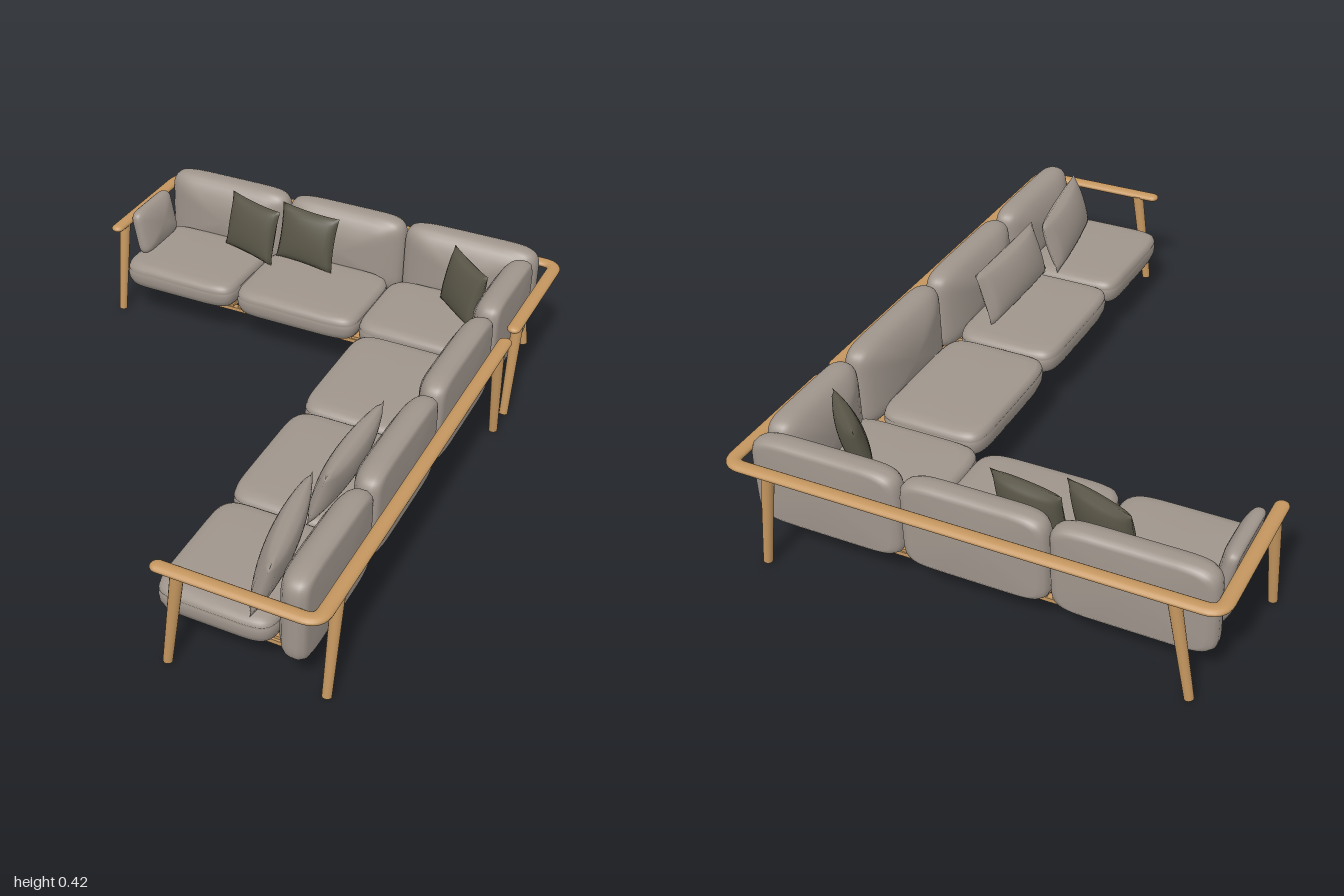
import * as THREE from 'three';
import { mergeVertices } from 'three/addons/utils/BufferGeometryUtils.js';

const V = (x, y, z) => new THREE.Vector3(x, y, z);
const RAIL_Y = 0.333, RAIL_R = 0.0225, RAIL_FLAT = 0.55;

// Profiles run from underside to crown: [fraction of outline, fraction of thickness]
const SEAT = [[0, 0], [.85, 0], [.95, .08], [.99, .3], [1, .5], [.995, .62], [.985, .66],
  [.995, .7], [.975, .85], [.92, .95], [.8, .98], [.5, 1], [0, 1]];
const BACK = [[0, 0], [.88, 0], [.96, .06], [1, .2], [1, .38], [.985, .5], [.94, .62],
  [.85, .74], [.65, .89], [.35, .98], [0, 1]];

function smooth(geometry) {
  geometry.deleteAttribute('normal');
  geometry.deleteAttribute('uv');
  const merged = mergeVertices(geometry, 1e-5);
  merged.computeVertexNormals();
  return merged;
}

// Lathe whose round outline is squared off into a soft rectangle
function slab(w, h, d, profile) {
  const geo = new THREE.LatheGeometry(profile.map(([r, y]) => new THREE.Vector2(r, y * h)), 64);
  const p = geo.attributes.position;
  const square = (v) => Math.abs(v) < 1e-6 ? 0 : Math.sign(v) * Math.pow(Math.abs(v), 2 / 7);
  for (let i = 0; i < p.count; i++) {
    const x = p.getX(i), z = p.getZ(i), r = Math.hypot(x, z) || 1e-9;
    p.setX(i, r * square(x / r) * w / 2);
    p.setZ(i, r * square(z / r) * d / 2);
  }
  return smooth(geo);
}

// Stuffed pillow: thin at the seams, with drawn-in edges between the corners
function pillowGeometry(w, h, t, pinch) {
  const geo = new THREE.BoxGeometry(2, 2, 2, 16, 16, 1);
  const p = geo.attributes.position;
  for (let i = 0; i < p.count; i++) {
    const u = p.getX(i), v = p.getY(i), s = Math.sign(p.getZ(i));
    const puff = Math.pow(Math.max(0, (1 - u * u) * (1 - v * v)), 0.45);
    p.setXYZ(i, u * w / 2 * (1 - pinch * (1 - v * v)), v * h / 2 * (1 - pinch * (1 - u * u)), s * t / 2 * puff);
  }
  return smooth(geo);
}

export function createModel() {
  const mat = (name, color) => new THREE.MeshStandardMaterial({ name, color });
  const wood = mat('oak', 0xc4965f);
  const fabric = mat('greyFabric', 0x9f958c);
  const dark = mat('darkFabric', 0x5a5648);

  const model = new THREE.Group();
  model.name = 'cornerSofa';
  const section = (name) => {
    const g = new THREE.Group();
    g.name = name;
    model.add(g);
    return g;
  };
  const add = (parent, name, geo, material, x = 0, y = 0, z = 0) => {
    const m = new THREE.Mesh(geo, material);
    m.name = name;
    m.position.set(x, y, z);
    parent.add(m);
    return m;
  };
  const box = (parent, name, x0, x1, y0, y1, z0, z1) =>
    add(parent, name, new THREE.BoxGeometry(x1 - x0, y1 - y0, z1 - z0), wood,
      (x0 + x1) / 2, (y0 + y1) / 2, (z0 + z1) / 2);

  // Flattened round rail following [x, z] corners with rounded bends
  function rail(parent, pts) {
    const path = new THREE.CurvePath();
    const c = pts.map(([x, z]) => V(x, 0, z));
    let from = c[0];
    for (let i = 1; i < c.length; i++) {
      if (i === c.length - 1) { path.add(new THREE.LineCurve3(from, c[i])); break; }
      const a = c[i].clone().add(c[i - 1].clone().sub(c[i]).setLength(0.045));
      const b = c[i].clone().add(c[i + 1].clone().sub(c[i]).setLength(0.045));
      path.add(new THREE.LineCurve3(from, a));
      path.add(new THREE.QuadraticBezierCurve3(a, c[i], b));
      from = b;
    }
    const tube = add(parent, 'rail', new THREE.TubeGeometry(path, 200, RAIL_R, 16), wood, 0, RAIL_Y, 0);
    tube.scale.y = RAIL_FLAT;
    for (const end of [c[0], c[c.length - 1]]) {
      const cap = add(parent, 'railEnd', new THREE.SphereGeometry(RAIL_R, 16, 12), wood, end.x, RAIL_Y, end.z);
      cap.scale.y = RAIL_FLAT;
    }
  }

  // Tapered leg from foot to top
  function leg(parent, foot, top) {
    const dir = top.clone().sub(foot);
    const m = add(parent, 'leg', new THREE.CylinderGeometry(0.019, 0.014, dir.length(), 16), wood);
    m.position.copy(foot).add(top).multiplyScalar(0.5);
    m.quaternion.setFromUnitVectors(V(0, 1, 0), dir.normalize());
  }

  const seat = (parent, x0, x1, z0, z1) =>
    add(parent, 'seatCushion', slab(x1 - x0, 0.092, z1 - z0, SEAT), fabric, (x0 + x1) / 2, 0.13, (z0 + z1) / 2);

  // Back cushion; (x, z) is the middle of its flat rear face
  const back = (parent, width, x, z, turn) => {
    const geo = slab(width, 0.115, 0.285, BACK).rotateX(Math.PI / 2).rotateY(turn);
    add(parent, 'backCushion', geo, fabric, x, 0.27, z);
  };

  const pillow = (parent, name, geo, material, [x, y, z], turn, lean) =>
    add(parent, name, geo, material, x, y, z).rotation.set(lean, turn, 0, 'YXZ');

  // Slatted base; slats run across the shorter direction
  function base(parent, x0, x1, z0, z1, count) {
    const t = 0.022, y0 = 0.108, y1 = 0.121;
    box(parent, 'baseFrame', x0, x1, y0, y1, z0, z0 + t);
    box(parent, 'baseFrame', x0, x1, y0, y1, z1 - t, z1);
    box(parent, 'baseFrame', x0, x0 + t, y0, y1, z0, z1);
    box(parent, 'baseFrame', x1 - t, x1, y0, y1, z0, z1);
    const alongX = x1 - x0 > z1 - z0;
    const start = alongX ? x0 : z0, step = (alongX ? x1 - x0 : z1 - z0) / count;
    for (let i = 0; i < count; i++) {
      const a = start + step * (i + 0.15), b = a + step * 0.7;
      if (alongX) box(parent, 'slat', a, b, 0.117, 0.13, z0 + 0.004, z1 - 0.004);
      else box(parent, 'slat', x0 + 0.004, x1 - 0.004, 0.117, 0.13, a, b);
    }
  }

  // Rear sofa with arms at both ends
  const rear = section('rearSofa');
  rail(rear, [[-0.733, -0.525], [-0.733, -0.9775], [0.733, -0.9775], [0.733, -0.525]]);
  for (const s of [-1, 1]) {
    leg(rear, V(s * 0.655, 0, -0.972), V(s * 0.605, RAIL_Y, -0.972));
    leg(rear, V(s * 0.731, 0, -0.53), V(s * 0.731, RAIL_Y, -0.57));
  }
  base(rear, -0.655, 0.655, -0.9, -0.54, 24);
  seat(rear, -0.70, -0.268, -0.845, -0.485);
  seat(rear, -0.262, 0.196, -0.845, -0.485);
  seat(rear, 0.198, 0.64, -0.845, -0.485);
  back(rear, 0.475, -0.473, -0.945, 0);
  back(rear, 0.445, -0.011, -0.945, 0);
  back(rear, 0.475, 0.45, -0.945, 0);
  back(rear, 0.385, 0.69, -0.67, -Math.PI / 2);

  // Side sofa with one arm at its front end
  const side = section('sideSofa');
  rail(side, [[0.733, -0.432], [0.733, 0.9775], [0.282, 0.9775]]);
  leg(side, V(0.731, 0, -0.425), V(0.731, RAIL_Y, -0.38));
  leg(side, V(0.731, 0, 0.895), V(0.731, RAIL_Y, 0.85));
  leg(side, V(0.298, 0, 0.97), V(0.335, RAIL_Y, 0.97));
  leg(side, V(0.298, 0, -0.425), V(0.312, 0.12, -0.41));
  base(side, 0.29, 0.655, -0.41, 0.885, 24);

  // Centre beam with tapered ends
  const beam = new THREE.Shape([[-0.4, 0.117], [-0.34, 0.092], [0.81, 0.092], [0.87, 0.117]]
    .map(([z, y]) => new THREE.Vector2(-z, y)));
  const beamGeo = new THREE.ExtrudeGeometry(beam, { depth: 0.012, bevelEnabled: false }).rotateY(Math.PI / 2);
  add(side, 'centreBeam', beamGeo, wood, 0.464, 0, 0);

  for (const [z0, z1] of [[-0.465, 0.02], [0.024, 0.506], [0.51, 0.94]]) seat(side, 0.23, 0.588, z0, z1);
  for (const [z0, z1] of [[-0.465, 0.015], [0.02, 0.502], [0.506, 0.96]])
    back(side, z1 - z0, 0.69, (z0 + z1) / 2, -Math.PI / 2);

  // Loose pillows
  const loose = section('pillows');
  const square = pillowGeometry(0.235, 0.205, 0.075, 0.06);
  pillow(loose, 'darkPillow', square, dark, [-0.32, 0.318, -0.765], -0.33, -0.2);
  pillow(loose, 'darkPillow', square, dark, [-0.115, 0.318, -0.79], -0.15, -0.2);
  pillow(loose, 'darkPillow', square, dark, [0.495, 0.318, -0.715], -0.75, -0.2);
  const long = pillowGeometry(0.41, 0.19, 0.085, 0.03);
  pillow(loose, 'longPillow', long, fabric, [0.52, 0.305, 0.32], -Math.PI / 2, -0.28);
  pillow(loose, 'longPillow', long, fabric, [0.51, 0.305, 0.72], -1.4, -0.28);
  const arm = slab(0.235, 0.055, 0.165, BACK).rotateX(Math.PI / 2).translate(0, 0, -0.027);
  pillow(loose, 'armPillow', arm, fabric, [-0.672, 0.293, -0.695], Math.PI / 2, -0.22);

  return model;
}
